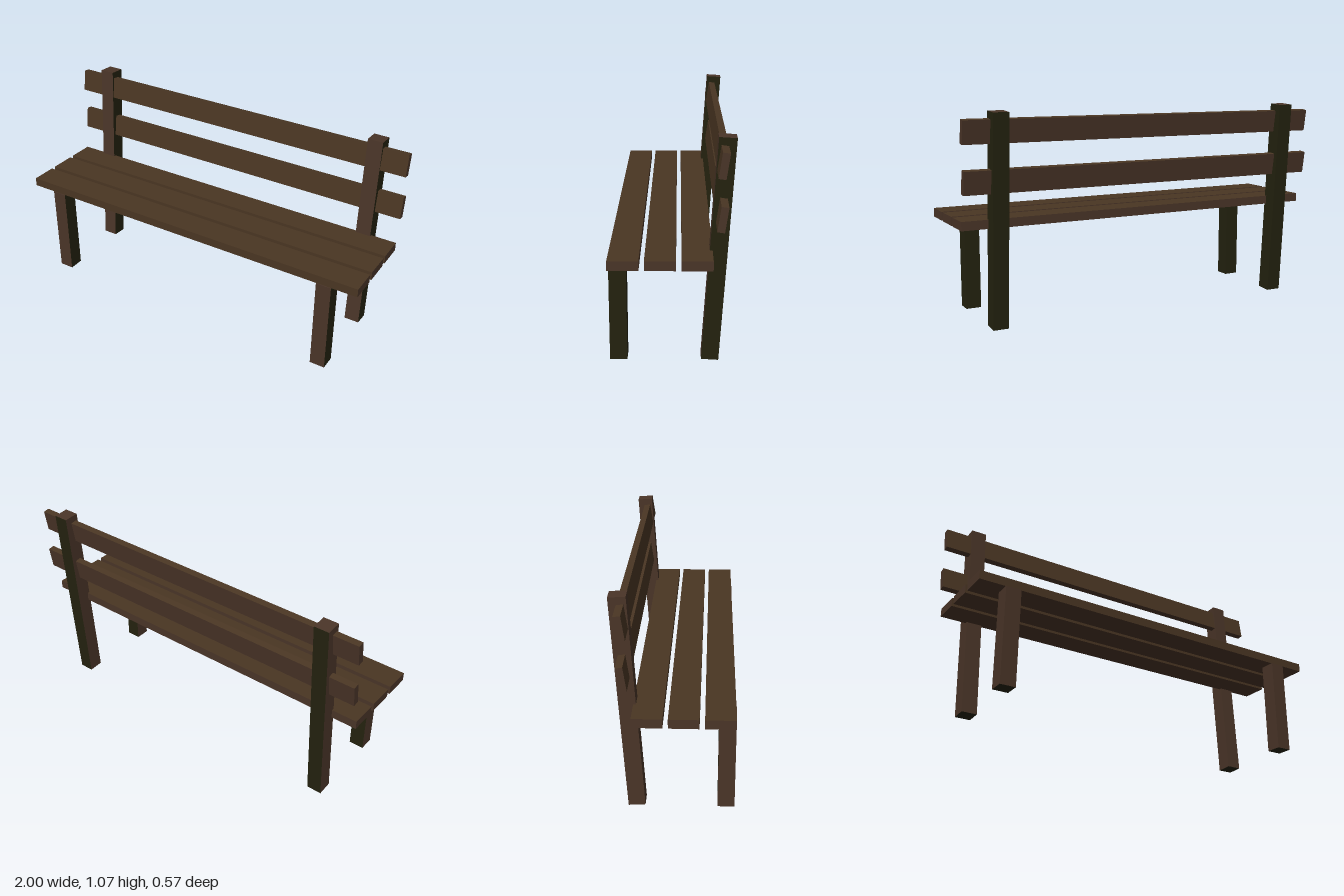
import * as THREE from 'three';

export function createModel() {
  const bench = new THREE.Group();
  bench.name = 'bench';

  const make = (name, color) => {
    const m = new THREE.MeshStandardMaterial({ color });
    m.name = name;
    return m;
  };
  const wood = make('wood', 0x4a3623);
  const endGrain = make('reddish wood', 0x4a3528);
  const mossy = make('dark mossy wood', 0x24220f);

  // Material per box face: +x, -x, +y, -y, +z, -z
  const slatFaces = [endGrain, endGrain, wood, endGrain, wood, endGrain];
  const postFaces = [mossy, endGrain, endGrain, mossy, endGrain, mossy];

  function board(name, size, position, faces, lean = 0) {
    const mesh = new THREE.Mesh(new THREE.BoxGeometry(...size), faces);
    mesh.name = name;
    mesh.position.set(...position);
    mesh.rotation.x = -lean;
    bench.add(mesh);
  }

  // Seat slats
  for (const z of [0.213, 0.049, -0.115]) {
    board('seatSlat', [2, 0.045, 0.14], [0, 0.522, z], slatFaces);
  }

  // Backrest slats, leaning a little more than the posts they pass through
  for (const [y, z] of [[0.972, -0.225], [0.734, -0.223]]) {
    board('backSlat', [2, 0.116, 0.034], [0, y, z], slatFaces, 0.148);
  }

  // Front legs and leaning back posts on both sides
  for (const [side, x] of [['left', 0.825], ['right', -0.825]]) {
    board(side + 'FrontLeg', [0.08, 0.496, 0.081], [x, 0.252, 0.2465], postFaces);
    board(side + 'BackPost', [0.08, 1.063, 0.081], [x, 0.534, -0.212], postFaces, 0.065);
  }

  return bench;
}
